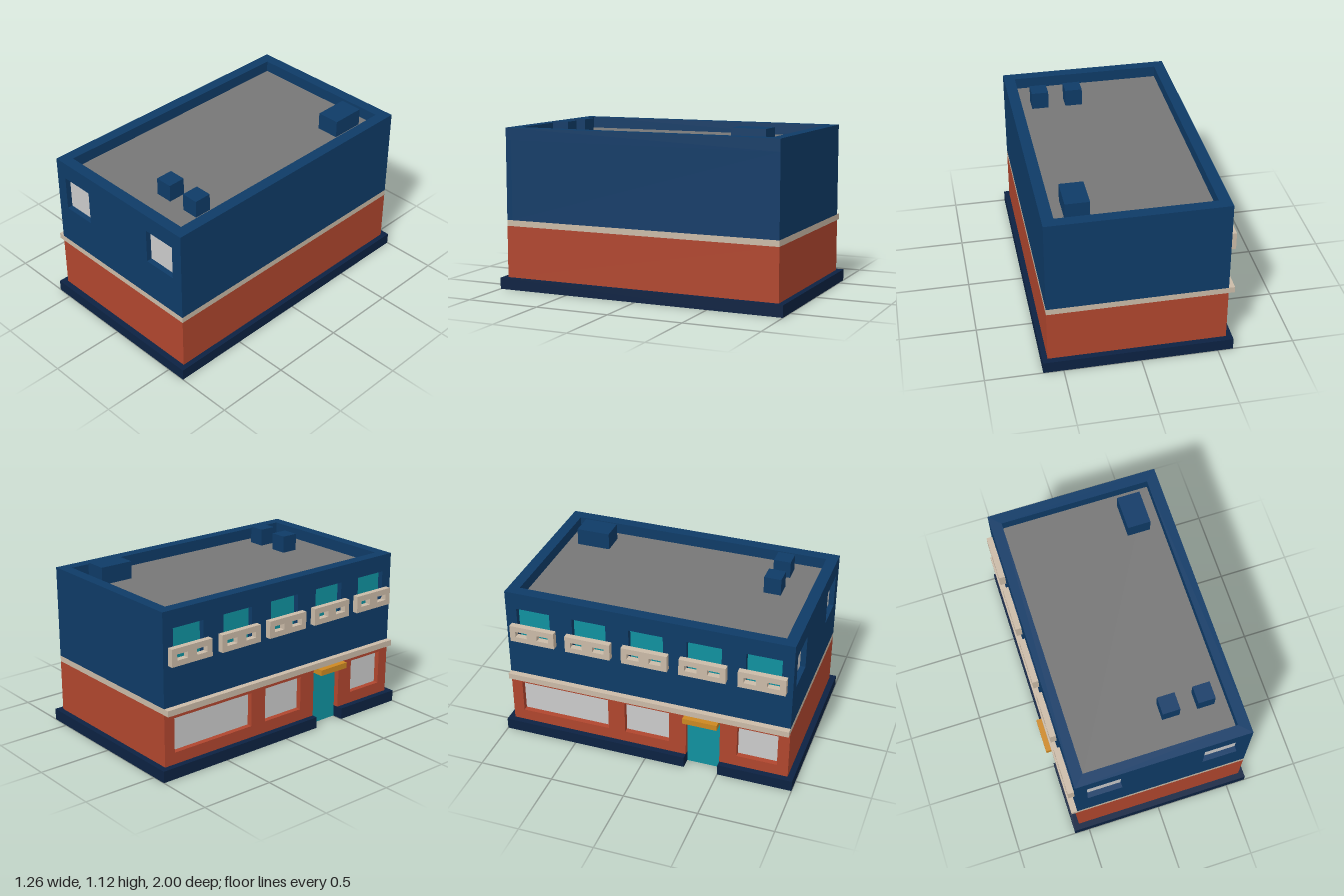
import * as THREE from 'three';

const paint = (name, color) => {
  const m = new THREE.MeshStandardMaterial({ color });
  m.name = name;
  return m;
};

export function createModel() {
  const model = new THREE.Group();
  model.name = 'shopBuilding';

  const blue = paint('blue wall', 0x0e3b67);
  const brick = paint('brick red', 0xb0462e);
  const beige = paint('beige trim', 0xcabaa7);
  const navy = paint('navy base', 0x0c2242);
  const grey = paint('roof grey', 0x767676);
  const pale = paint('pale glass', 0xcacaca);
  const teal = paint('teal glass', 0x10919f);
  const amber = paint('amber awning', 0xcc8822);

  const add = (name, geometry, material) => {
    const mesh = new THREE.Mesh(geometry, material);
    mesh.name = name;
    model.add(mesh);
    return mesh;
  };

  // Box given by its limits on each axis
  const box = (name, material, x0, x1, y0, y1, z0, z1) => {
    const g = new THREE.BoxGeometry(x1 - x0, y1 - y0, z1 - z0);
    g.translate((x0 + x1) / 2, (y0 + y1) / 2, (z0 + z1) / 2);
    return add(name, g, material);
  };

  const rect = (a0, a1, b0, b1) => [[a0, b0], [a1, b0], [a1, b1], [a0, b1]];
  const toPoints = (list) => list.map(([a, b]) => new THREE.Vector2(a, b));
  const extrude = (outline, holes, depth) => {
    const shape = new THREE.Shape(toPoints(outline));
    for (const h of holes) shape.holes.push(new THREE.Path(toPoints(h)));
    return new THREE.ExtrudeGeometry(shape, { depth, bevelEnabled: false });
  };

  // Panel drawn in (z, y), extruded towards -x
  const sidePanel = (name, material, outline, holes, x) =>
    add(name, extrude(outline, holes, 0.04).rotateY(-Math.PI / 2).translate(x, 0, 0), material);

  // Slab drawn in (x, -z), extruded upwards
  const slab = (name, material, outline, holes, y, height) =>
    add(name, extrude(outline, holes, height).rotateX(-Math.PI / 2).translate(0, y, 0), material);

  const L = -0.56, R = 0.595, Z = 0.96, inner = -0.52;
  const door = [0.27, 0.5];

  // Base slab, notched at the door
  slab('base', navy, [
    [-0.6, -1], [0.63, -1], [0.63, 1], [-0.6, 1],
    [-0.6, -door[0]], [inner, -door[0]], [inner, -door[1]], [-0.6, -door[1]],
  ], [], 0, 0.077);

  // Ground floor with shop windows and door
  const shopWindows = [[-0.885, -0.27], [-0.154, 0.154], [0.615, 0.885]];
  box('groundFloor', brick, inner, R, 0.077, 0.425, -Z, Z);
  sidePanel('shopWall', brick, [
    [-Z, 0.077], [door[0], 0.077], [door[0], 0.385], [door[1], 0.385],
    [door[1], 0.077], [Z, 0.077], [Z, 0.425], [-Z, 0.425],
  ], shopWindows.map(([a, b]) => rect(a, b, 0.155, 0.385)), inner);
  for (const [a, b] of shopWindows) {
    box('shopWindow', pale, inner - 0.004, inner, 0.155, 0.385, a, b);
  }
  box('door', teal, inner - 0.004, inner, 0, 0.385, ...door);
  box('awning', amber, -0.635, L, 0.385, 0.424, ...door);

  // Band between floors, projecting over the shop side
  box('trimBand', beige, -0.6, R, 0.425, 0.465, -Z, Z);

  // Upper floor
  const sideCentres = [-0.77, -0.385, 0, 0.385, 0.77];
  const frontWindows = [[-0.483, -0.252], [0.287, 0.518]];
  const [low, high] = [0.733, 0.965];
  box('upperFloor', blue, inner, R, 0.465, 1, -Z, 0.92);
  sidePanel('upperSideWall', blue, rect(-Z, Z, 0.465, 1),
    sideCentres.map((c) => rect(c - 0.115, c + 0.115, low, high)), inner);
  add('upperFrontWall', extrude(rect(inner, R, 0.465, 1),
    frontWindows.map(([a, b]) => rect(a, b, low, high)), 0.04).translate(0, 0, 0.92), blue);
  for (const [a, b] of frontWindows) {
    box('frontWindow', pale, a, b, low, high, 0.92, 0.924);
  }

  // Side windows, each with a pierced balcony front
  for (const c of sideCentres) {
    box('sideWindow', teal, inner - 0.004, inner, low, high, c - 0.115, c + 0.115);
    const slots = [-0.075, 0.075].map((d) => rect(c + d - 0.04, c + d + 0.04, 0.772, 0.811));
    sidePanel('balcony', beige, rect(c - 0.154, c + 0.154, 0.735, 0.85), slots, L);
  }

  // Parapet, flat roof and roof units
  slab('parapet', blue, rect(L, R, -Z, Z), [rect(-0.485, 0.52, -0.885, 0.885)], 1, 0.08);
  box('roof', grey, -0.485, 0.52, 1, 1.004, -0.885, 0.885);
  const roofUnits = [
    [0.095, 0.21, 0.575, 0.69],
    [0.328, 0.441, 0.575, 0.69],
    [0.287, 0.441, -0.81, -0.58],
  ];
  for (const [x0, x1, z0, z1] of roofUnits) {
    box('roofUnit', blue, x0, x1, 1.004, 1.12, z0, z1);
  }

  return model;
}
